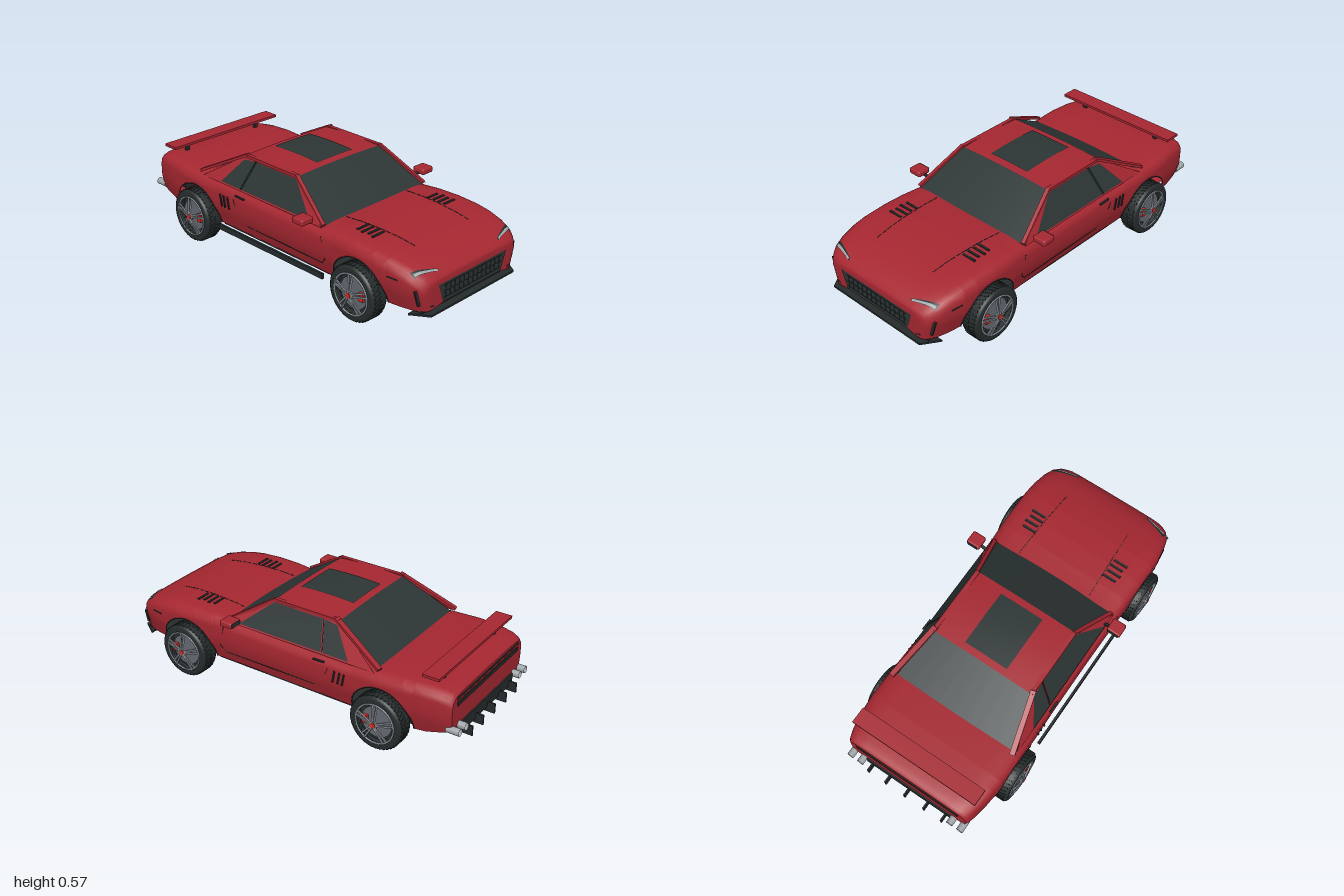
import * as THREE from 'three';
import { mergeGeometries } from 'three/addons/utils/BufferGeometryUtils.js';
import { RoundedBoxGeometry } from 'three/addons/geometries/RoundedBoxGeometry.js';

const mat = (name, color) => {
  const m = new THREE.MeshStandardMaterial({ color, side: THREE.DoubleSide });
  m.name = name;
  return m;
};
const V = (x, y, z) => new THREE.Vector3(x, y, z);

// Body stations: z, half width, top height
const STATIONS = [
  [0.972, 0.336, 0.308], [0.955, 0.353, 0.327], [0.92, 0.374, 0.347], [0.86, 0.39, 0.369], [0.78, 0.402, 0.385],
  [0.7, 0.406, 0.396], [0.58, 0.406, 0.403], [0.46, 0.403, 0.402], [0.36, 0.399, 0.395], [0.1, 0.395, 0.39],
  [-0.2, 0.395, 0.39], [-0.42, 0.4, 0.395], [-0.55, 0.404, 0.402], [-0.7, 0.403, 0.409], [-0.82, 0.391, 0.409],
  [-0.9, 0.375, 0.402], [-0.935, 0.364, 0.392], [-0.95, 0.354, 0.378],
];
const WHEEL_Z = [0.615, -0.585], ARCH_R = 0.175, SILL = 0.148;

function profile(z) {
  let i = 0;
  while (i < STATIONS.length - 2 && z < STATIONS[i + 1][0]) i++;
  const a = STATIONS[i], b = STATIONS[i + 1];
  const t = THREE.MathUtils.clamp((a[0] - z) / (a[0] - b[0]), 0, 1);
  return { w: a[1] + (b[1] - a[1]) * t, top: a[2] + (b[2] - a[2]) * t };
}
const sideX = (z, y) => profile(z).w * (1 - Math.max(0, 0.25 - y) * 0.75);

// Crown of the section: fraction of half width, drop below the top
const CROWN = [[0, 0], [0.4, 0.001], [0.7, 0.003], [0.86, 0.008], [0.94, 0.018], [0.985, 0.035], [1, 0.06]];
function topY(x, z) {
  const { w, top } = profile(z), u = Math.min(Math.abs(x) / w, 1);
  let i = 0;
  while (i < CROWN.length - 2 && u > CROWN[i + 1][0]) i++;
  const [a, b] = [CROWN[i], CROWN[i + 1]];
  return top - (a[1] + (b[1] - a[1]) * (u - a[0]) / (b[0] - a[0]));
}

// Full section from the left sill over the top to the right sill
function section(z) {
  const { w, top } = profile(z);
  let low = SILL - Math.max(0, z - 0.88) * 0.08 + Math.max(0, -z - 0.8) * 0.25;
  for (const c of WHEEL_Z) low = Math.max(low, SILL + Math.sqrt(Math.max(0, ARCH_R ** 2 - (z - c) ** 2)));
  const half = CROWN.map(([u, d]) => [u * w, top - d]);
  for (let k = 1; k <= 5; k++) {
    const y = top - 0.06 + (low - top + 0.06) * k / 5;
    half.push([sideX(z, y), y]);
  }
  return [...half.slice(1).reverse().map(([x, y]) => V(x, y, z)), ...half.map(([x, y]) => V(-x, y, z))];
}

// Surface through rows of equal length
function grid(rows) {
  const n = rows[0].length, idx = [];
  for (let i = 0; i < rows.length - 1; i++) for (let j = 0; j < n - 1; j++) {
    const a = i * n + j, b = a + n;
    idx.push(a, b, a + 1, b, b + 1, a + 1);
  }
  const g = new THREE.BufferGeometry().setFromPoints(rows.flat());
  g.setIndex(idx);
  g.computeVertexNormals();
  return g;
}
// Convex flat panel
function panel(pts) {
  const g = new THREE.BufferGeometry().setFromPoints(pts), idx = [];
  for (let i = 1; i < pts.length - 1; i++) idx.push(0, i, i + 1);
  g.setIndex(idx);
  g.computeVertexNormals();
  return g;
}

export function createModel() {
  const car = new THREE.Group();
  car.name = 'sportsCar';
  const red = mat('bodyRed', 0xa62731), glass = mat('tintedGlass', 0x2d3535), black = mat('blackTrim', 0x252b2b);
  const rubber = mat('tyreRubber', 0x262c2c), rimGrey = mat('rimGrey', 0x646a72), spokeGrey = mat('spokeGrey', 0x858a92);
  const silver = mat('silver', 0xa0a5a8), bright = mat('brightRed', 0xd02a20);

  const add = (name, geo, m, x = 0, y = 0, z = 0, parent = car) => {
    const mesh = new THREE.Mesh(geo, m);
    mesh.name = name;
    mesh.position.set(x, y, z);
    parent.add(mesh);
  };
  const box = (name, w, h, d, m, x, y, z, parent) => add(name, new THREE.BoxGeometry(w, h, d), m, x, y, z, parent);
  const bar = (name, a, b, w, h, m, parent = car) => {
    const mesh = new THREE.Mesh(new THREE.BoxGeometry(w, h, a.distanceTo(b)), m);
    mesh.name = name;
    mesh.position.copy(a).lerp(b, 0.5);
    mesh.lookAt(b);
    parent.add(mesh);
  };

  // Body shell with open wheel arches and a rounded nose
  const zs = STATIONS.map((s) => s[0]);
  for (const c of WHEEL_Z) for (let k = 0; k <= 18; k++) zs.push(c + ARCH_R * Math.cos(k * Math.PI / 18));
  zs.sort((a, b) => b - a);
  const nose = [[0, 0.984], [0.5, 0.984], [0.85, 0.983], [0.95, 0.98]].map(([f, z]) =>
    section(0.972).map((p) => V(p.x * f, 0.2 + (p.y - 0.2) * f, z)));
  add('bodyShell', grid([...nose, ...zs.map(section)]), red);
  add('tailFascia', panel(section(-0.95).reverse()), red);
  box('floor', 0.66, 0.01, 1.72, black, 0, 0.145, 0.1);
  box('sillFloor', 0.72, 0.012, 0.83, black, 0, 0.143, 0.015);
  add('tailUnderside', panel([V(0.33, 0.15, -0.76), V(-0.33, 0.15, -0.76), V(-0.33, 0.186, -0.95), V(0.33, 0.186, -0.95)]), red);
  box('sideSkirt', 0.013, 0.03, 0.78, black, -0.413, 0.15, 0.01);

  // Roof and glass
  const roofRows = [];
  for (let i = 0; i <= 8; i++) {
    const t = i / 8, row = [];
    for (let j = 0; j <= 8; j++) {
      const u = 1 - j / 4;
      row.push(V(u * 0.3, 0.549 + 0.009 * Math.sin(Math.PI * t) + 0.007 * (1 - u * u), 0.105 - 0.39 * t));
    }
    roofRows.push(row);
  }
  add('roof', grid(roofRows), red);
  const sunroof = roofRows.slice(1, 8).map((r) => r.slice(2, 7).map((p) => V(p.x * 0.84, p.y + 0.004, p.z * 1.08 + 0.006)));
  add('sunroof', grid(sunroof), glass);
  const screenBase = (w, y, z, bulge) => roofRows[0].map((p) => {
    const u = p.x / 0.3;
    return V(u * w, y + 0.006 * (1 - u * u), z + bulge * (1 - u * u));
  });
  add('windshield', grid([screenBase(0.356, 0.387, 0.355, 0.01), roofRows[0]]), glass);
  add('rearWindow', grid([roofRows[8], screenBase(0.352, 0.396, -0.54, -0.005)]), glass);

  const cabinX = (y) => 0.38 - (y - 0.39) / 0.155 * 0.083;
  for (const s of [1, -1]) {
    // Cabin sides and pillars
    const P = (x, y, z) => V(s * x, y, z);
    const sidePanel = (pts, out) => panel(pts.map(([z, y]) => P(cabinX(y) + out, y, z)));
    add('cabinSide', sidePanel([[0.36, 0.385], [-0.54, 0.385], [-0.28, 0.55], [0.1, 0.55]], 0), red);
    add('doorWindow', sidePanel([[0.275, 0.396], [-0.23, 0.396], [-0.19, 0.538], [0.105, 0.538]], 0.005), glass);
    add('quarterWindow', sidePanel([[-0.242, 0.396], [-0.39, 0.396], [-0.28, 0.53], [-0.202, 0.538]], 0.005), glass);
    bar('windowPost', P(cabinX(0.396) + 0.004, 0.396, -0.236), P(cabinX(0.538) + 0.004, 0.538, -0.196), 0.004, 0.01, black);
    bar('frontPillar', P(0.366, 0.39, 0.355), P(0.297, 0.552, 0.1), 0.02, 0.018, red);
    bar('roofRail', P(0.295, 0.549, 0.105), P(0.295, 0.549, -0.285), 0.022, 0.016, red);
    bar('rearButtress', P(0.296, 0.558, -0.265), P(0.37, 0.406, -0.562), 0.028, 0.014, red);

    // Wing mirrors
    bar('mirrorStalk', P(0.355, 0.392, 0.28), P(0.415, 0.418, 0.285), 0.014, 0.012, black);
    add('mirror', new RoundedBoxGeometry(0.078, 0.034, 0.075, 3, 0.01), red, s * 0.439, 0.425, 0.288);
    box('mirrorGlass', 0.062, 0.022, 0.004, glass, s * 0.439, 0.425, 0.25);

    // Headlights following the nose
    const lamp = (x0, x1, z0, z1, d0, d1, lift) => {
      const rows = [];
      for (let i = 0; i <= 8; i++) {
        const t = i / 8, x = x0 + (x1 - x0) * t, z = z0 + (z1 - z0) * t, d = d0 + (d1 - d0) * t;
        rows.push([-1, 0, 1].map((k) => P(x, topY(x, z + k * d) + lift, z + k * d)));
      }
      return grid(rows);
    };
    add('headlightSurround', lamp(0.22, 0.356, 0.955, 0.914, 0.005, 0.014, 0.003), black);
    add('headlight', lamp(0.226, 0.35, 0.956, 0.922, 0.004, 0.006, 0.006), silver);

    // Corner intakes
    bar('cornerIntake', P(0.365, 0.264, 0.944), P(0.344, 0.185, 0.95), 0.012, 0.012, black);
    bar('lowerIntake', P(0.272, 0.169, 0.981), P(0.3, 0.174, 0.979), 0.006, 0.006, black);

    // Hood creases and vents
    for (let i = 0; i < 12; i++) {
      const q = (t) => { const x = 0.22 - 0.022 * t, z = 0.37 + 0.43 * t; return P(x, topY(x, z) + 0.0005, z); };
      bar('hoodCrease', q(i / 12), q((i + 0.75) / 12), 0.003, 0.003, black);
    }
    [0.512, 0.547, 0.582, 0.615].forEach((z, i) =>
      box('hoodVent', 0.08, 0.007, 0.012, black, s * (0.252 + (i % 2) * 0.008), topY(0.25, z) + 0.001, z));

    // Door seams, handle and side vents
    const seam = [[0.37, 0.35], [0.395, 0.235], [0.365, 0.2], [-0.19, 0.2], [-0.27, 0.3], [-0.28, 0.33]];
    const onSide = ([z, y], out = 0) => P(sideX(z, y) + out, y, z);
    for (let i = 0; i < seam.length - 1; i++) bar('doorSeam', onSide(seam[i]), onSide(seam[i + 1]), 0.003, 0.003, black);
    bar('doorHandle', P(0.396, 0.355, -0.195), P(0.397, 0.358, -0.26), 0.01, 0.007, black);
    for (const z of [-0.312, -0.342, -0.368])
      bar('sideVent', onSide([z, 0.265], 0.002), onSide([z - 0.012, 0.33], 0.002), 0.008, 0.008, black);
    bar('sideMarker', onSide([0.86, 0.298], 0.001), onSide([0.8, 0.3], 0.001), 0.005, 0.005, black);

    // Arch lips
    for (const c of WHEEL_Z) {
      const lip = [];
      for (let k = 0; k <= 16; k++) {
        const a = k * Math.PI / 16, y = SILL + ARCH_R * Math.sin(a), z = c + ARCH_R * Math.cos(a);
        lip.push(P(sideX(z, y), y, z));
      }
      add('archLip', new THREE.TubeGeometry(new THREE.CatmullRomCurve3(lip), 32, 0.003, 6), black);
    }

    // Exhausts and spoiler legs
    for (const x of [0.28, 0.342]) {
      add('exhaustPipe', new THREE.CylinderGeometry(0.019, 0.019, 0.07, 20, 1, true).rotateX(Math.PI / 2), silver, s * x, 0.2, -0.957);
      add('exhaustCore', new THREE.CircleGeometry(0.018, 20).rotateY(Math.PI), black, s * x, 0.2, -0.978);
    }
    box('spoilerLeg', 0.02, 0.05, 0.018, black, s * 0.25, 0.425, -0.84);
  }

  // Grille, splitter and its fins
  add('grille', panel([V(-0.215, 0.17, 0.987), V(0.215, 0.17, 0.987), V(0.25, 0.27, 0.987), V(-0.25, 0.27, 0.987)]), glass);
  for (let i = -6; i <= 6; i++) box('grilleSlat', 0.004, 0.07, 0.005, black, i * 0.033, 0.222, 0.987);
  for (const y of [0.19, 0.222, 0.256]) box('grilleRow', 0.42, 0.004, 0.005, black, 0, y, 0.987);
  const splitter = new THREE.Shape([[-0.37, -0.91], [-0.31, -1], [0.31, -1], [0.37, -0.91]].map(([x, y]) => new THREE.Vector2(x, y)));
  add('splitter', new THREE.ExtrudeGeometry(splitter, { depth: 0.01, bevelEnabled: false }).rotateX(-Math.PI / 2), black, 0, 0.13, 0);
  const fins = [-0.23, -0.12, 0, 0.12, 0.23];
  for (const x of fins) box('splitterFin', 0.006, 0.007, 0.06, black, x, 0.127, 0.955);

  // Rear lights, diffuser and spoiler
  box('lightBand', 0.62, 0.008, 0.008, black, 0, 0.359, -0.951);
  box('tailLight', 0.62, 0.007, 0.009, bright, 0, 0.351, -0.951);
  box('lowerBand', 0.62, 0.02, 0.008, black, 0, 0.326, -0.951);
  box('diffuser', 0.53, 0.06, 0.1, black, 0, 0.178, -0.908);
  for (const x of fins) box('diffuserFin', 0.008, 0.055, 0.14, black, x, 0.152, -0.93);
  box('spoiler', 0.74, 0.014, 0.09, red, 0, 0.457, -0.835);

  // Wheels: axle along x, outer face towards local +x
  const R = 0.148;
  const tyreProfile = [[0.107, -0.05], [0.132, -0.053], [0.142, -0.047], [0.146, -0.034], [0.146, 0.03], [0.142, 0.043], [0.132, 0.05], [0.107, 0.048]]
    .map(([r, x]) => new THREE.Vector2(r, x));
  const tyreGeo = new THREE.LatheGeometry(tyreProfile, 48).rotateZ(-Math.PI / 2);
  const treads = [];
  for (let i = 0; i < 40; i++) for (const k of [-1, 1])
    treads.push(new THREE.BoxGeometry(0.036, 0.004, 0.012).rotateY(k * 0.35).translate(k * 0.018, R - 0.002, 0).rotateX((i + k * 0.25) * Math.PI / 20));
  const treadGeo = mergeGeometries(treads);
  const disc = (r, h) => new THREE.CylinderGeometry(r, r, h, 36).rotateZ(-Math.PI / 2);

  for (const s of [1, -1]) WHEEL_Z.forEach((cz, n) => {
    const wheel = new THREE.Group();
    wheel.name = n ? 'rearWheel' : 'frontWheel';
    wheel.position.set(s * 0.394, R, cz);
    wheel.rotation.y = s > 0 ? 0 : Math.PI;
    add('tyre', tyreGeo, rubber, 0, 0, 0, wheel);
    add('tread', treadGeo, rubber, 0, 0, 0, wheel);
    add('rimBack', disc(0.107, 0.06), rimGrey, -0.015, 0, 0, wheel);
    add('rimWell', disc(0.103, 0.004), rubber, 0.018, 0, 0, wheel);
    add('brakeDisc', disc(0.085, 0.008), rimGrey, 0.024, 0, 0, wheel);
    add('rimLip', new THREE.TorusGeometry(0.106, 0.005, 8, 48).rotateY(Math.PI / 2), spokeGrey, 0.049, 0, 0, wheel);
    box('brakeCaliper', 0.016, 0.044, 0.028, bright, 0.038, 0.005, s * 0.06, wheel);
    for (let i = 0; i < 5; i++) for (const k of [-1, 1]) {
      const a = i * Math.PI * 0.4 + Math.PI / 2;
      const at = (r, ang, x) => V(x, r * Math.sin(ang), r * Math.cos(ang));
      bar('spoke', at(0.015, a + k * 0.3, 0.062), at(0.106, a + k * 0.11, 0.05), 0.008, 0.009, spokeGrey, wheel);
    }
    add('hub', disc(0.022, 0.014), spokeGrey, 0.058, 0, 0, wheel);
    add('hubCap', disc(0.014, 0.004), bright, 0.066, 0, 0, wheel);
    car.add(wheel);
  });
  return car;
}
